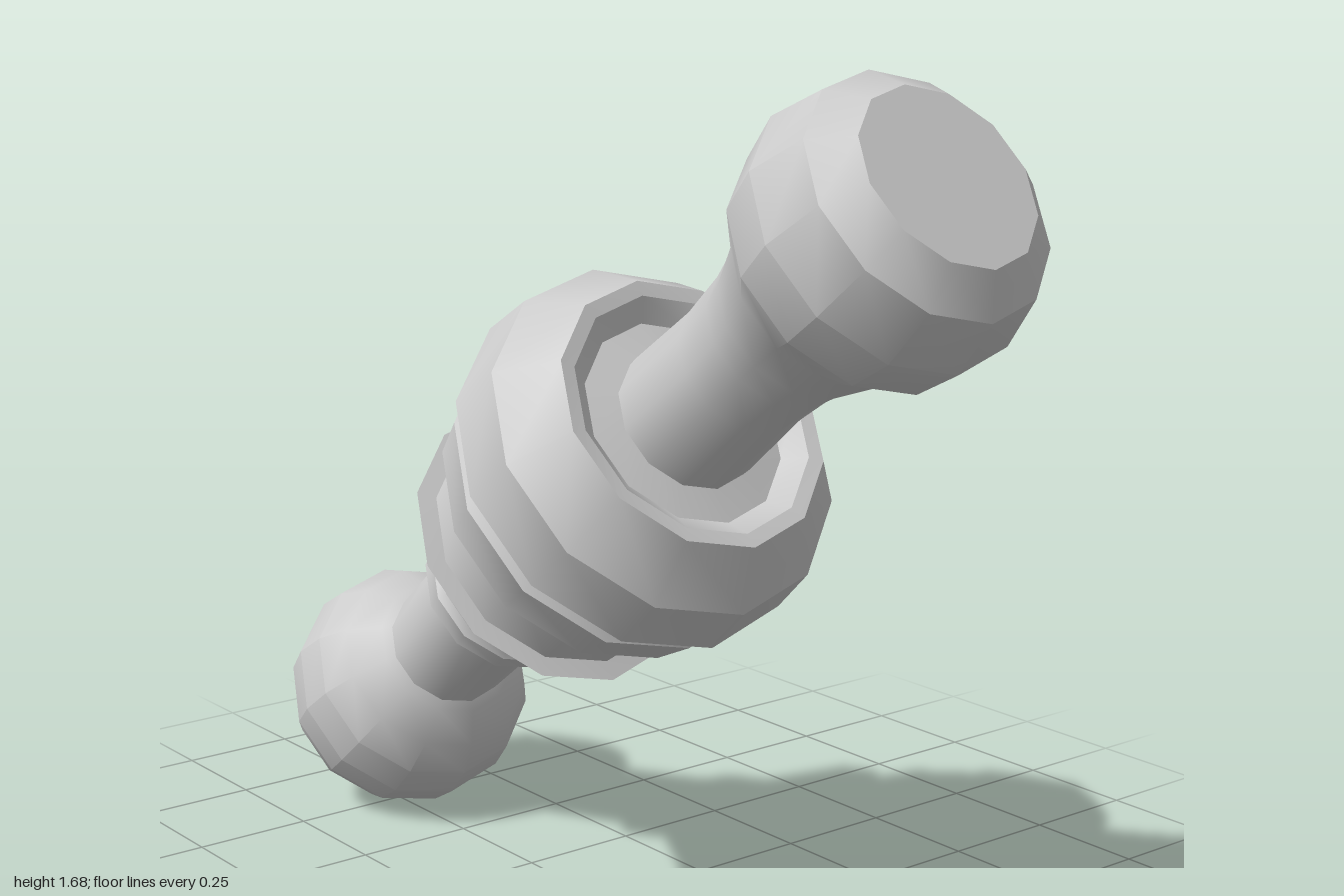
import * as THREE from 'three';
import { toCreasedNormals } from 'three/addons/utils/BufferGeometryUtils.js';

const material = new THREE.MeshStandardMaterial({ color: 0xcccccc, side: THREE.DoubleSide });

// Turned part: profile is [position along axis, radius], from the rear end forwards
function turned(name, profile) {
  const points = profile.map(([t, r]) => new THREE.Vector2(r, t));
  const geometry = toCreasedNormals(new THREE.LatheGeometry(points, 12), 0.56);
  const mesh = new THREE.Mesh(geometry, material);
  mesh.name = name;
  return mesh;
}

export function createModel() {
  const model = new THREE.Group();
  model.name = 'jointedLink';

  // Everything is turned about one axis that rises towards the front
  const axis = new THREE.Group();
  axis.name = 'tiltedAxis';
  axis.position.y = 0.857;
  axis.rotation.x = THREE.MathUtils.degToRad(52.3);
  model.add(axis);

  // Front shaft, flaring into a knob with a bevelled flat face
  axis.add(turned('frontKnob', [
    [0.2, 0.14], [0.33, 0.146], [0.51, 0.138], [0.62, 0.147], [0.68, 0.16],
    [0.78, 0.195], [0.86, 0.252], [0.962, 0.272], [1.075, 0.242], [1.13, 0.175], [1.13, 0],
  ]));

  // Central body: skirt, sleeve, middle ring and large front flange with a dished opening
  axis.add(turned('body', [
    [-0.35, 0], [-0.35, 0.171], [-0.205, 0.306], [-0.2, 0.267], [-0.056, 0.27],
    [-0.048, 0.328], [0.052, 0.352], [0.09, 0.3], [0.1, 0.32], [0.115, 0.38],
    [0.235, 0.367], [0.339, 0.28], [0.335, 0.25], [0.3, 0.21], [0.31, 0.14],
  ]));

  // Rear shaft and ball lean slightly to the left
  const rear = new THREE.Group();
  rear.name = 'rearLink';
  rear.position.y = -0.35;
  rear.rotation.z = 0.05;
  axis.add(rear);

  rear.add(turned('collar', [
    [-0.105, 0.135], [-0.085, 0.178], [-0.045, 0.18], [-0.03, 0.168], [0.02, 0.172],
  ]));
  rear.add(turned('rearShaft', [[-0.4, 0.133], [0, 0.142]]));

  const ball = [];
  for (let i = 0; i <= 10; i++) {
    const a = (i / 10) * Math.PI;
    ball.push([-0.592 - 0.26 * Math.cos(a), Math.max(0, 0.26 * Math.sin(a))]);
  }
  rear.add(turned('rearBall', ball));

  return model;
}
